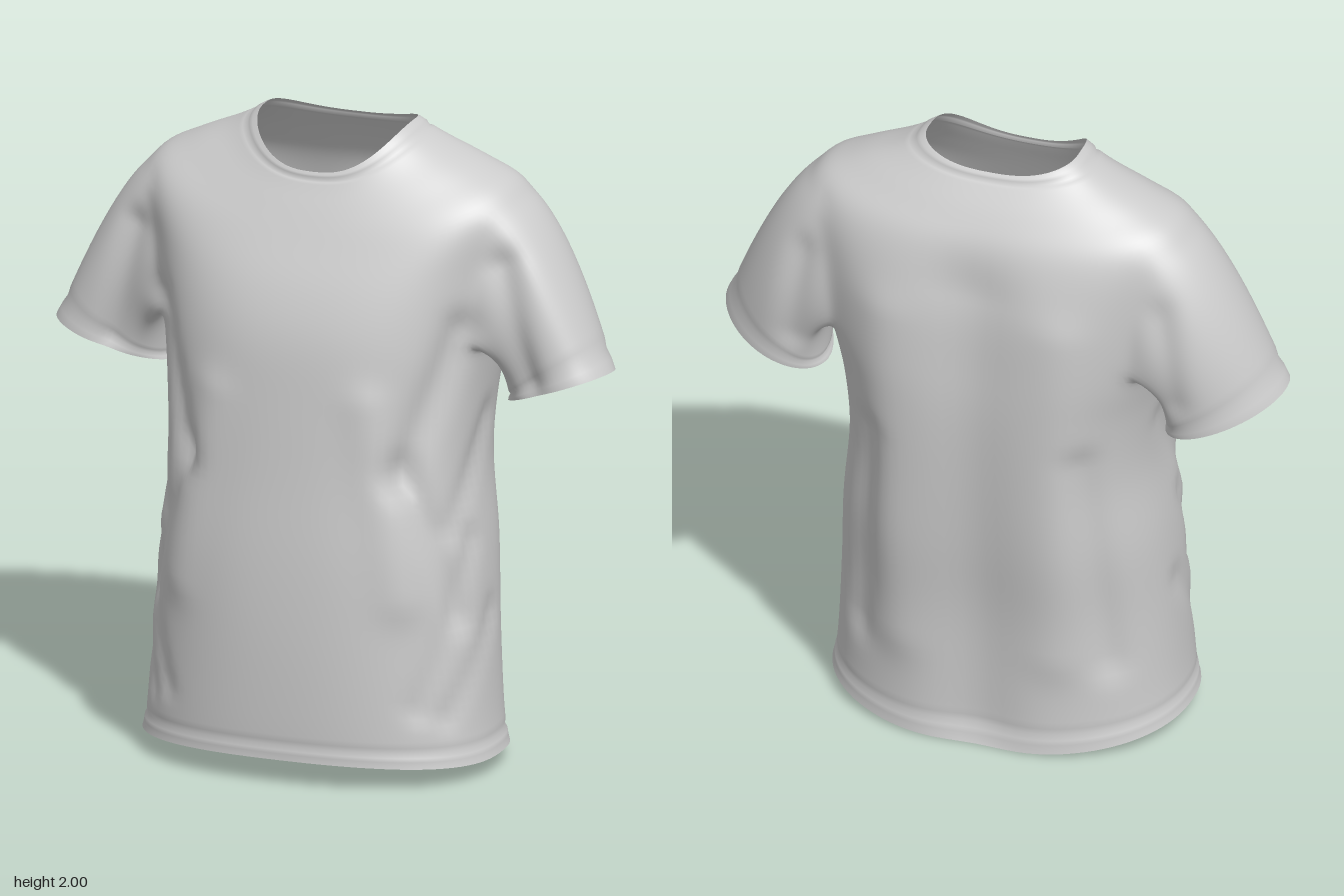
import * as THREE from 'three';

const NU = 96, PER = 8, NS = 26;          // columns around, rows per key ring, sleeve rows
const HOLE = { r0: 6 * PER, r1: 8 * PER, j0: -9, j1: 7 };   // armhole in the body grid

// Key rings from hem to neck: yFront, ySide, yBack, halfWidth, zFront, zBack, zSide, squareness
const RINGS = [
  [0.08, 0.055, 0.0, 0.565, 0.42, -0.375, 0.03, 2.3],
  [0.20, 0.185, 0.16, 0.55, 0.427, -0.375, 0.03, 2.3],
  [0.45, 0.45, 0.44, 0.535, 0.43, -0.385, 0.02, 2.3],
  [0.70, 0.70, 0.70, 0.52, 0.42, -0.415, 0.01, 2.4],
  [0.95, 0.95, 0.95, 0.492, 0.397, -0.435, 0.0, 2.4],
  [1.18, 1.17, 1.18, 0.505, 0.378, -0.445, -0.03, 2.4],
  [1.38, 1.34, 1.36, 0.53, 0.357, -0.44, -0.08, 2.5],
  [1.53, 1.60, 1.56, 0.56, 0.312, -0.425, -0.1, 2.5],
  [1.67, 1.805, 1.74, 0.60, 0.245, -0.375, -0.1, 2.4],
  [1.76, 1.885, 1.84, 0.48, 0.2, -0.315, -0.1, 2.3],
  [1.82, 1.945, 1.91, 0.34, 0.168, -0.262, -0.1, 2.4],
  [1.872, 2.0, 1.96, 0.24, 0.142, -0.22, -0.09, 2.6],
];

// Soft folds, one per line and mirrored below
const FOLDS = [];
function fold(from, to, radius, depth) {
  for (const side of [1, -1]) {
    const [a, b] = [from, to].map(([x, y, z]) => new THREE.Vector3(side * x, y, z));
    FOLDS.push({ line: new THREE.Line3(a, b), radius, depth });
  }
}
fold([0, 0.1, -0.39], [0, 1.6, -0.42], 0.14, -0.02);         // hollow along the spine
fold([0.26, 0.35, -0.36], [0.28, 1.5, -0.38], 0.09, 0.015);  // shoulder blade ridge
fold([0.41, 0.32, -0.27], [0.33, 1.05, -0.34], 0.06, -0.019);
fold([0.47, 1.42, 0.14], [0.35, 0.98, 0.3], 0.06, -0.03);    // dent below the armpit
fold([0.37, 1.0, 0.3], [0.5, 0.52, 0.18], 0.05, -0.022);
fold([0.25, 1.2, 0.34], [0.35, 0.6, 0.32], 0.07, 0.014);
fold([0.5, 0.75, 0.1], [0.4, 0.25, 0.3], 0.04, -0.016);      // slanted side creases
fold([0.52, 0.5, 0], [0.47, 0.22, 0.24], 0.04, -0.014);
fold([0.5, 1.1, -0.05], [0.46, 0.8, 0.18], 0.05, -0.015);
fold([0.6, 1.62, 0.09], [0.68, 1.25, 0.09], 0.05, -0.025);   // sleeve front and back
fold([0.58, 1.6, -0.31], [0.62, 1.3, -0.27], 0.05, -0.018);

const spow = (v, p) => Math.sign(v) * Math.abs(v) ** p;

// Catmull-Rom interpolation of the key rings
function ringAt(k) {
  const i = Math.min(Math.floor(k), RINGS.length - 2), t = k - i;
  const at = n => RINGS[Math.max(0, Math.min(RINGS.length - 1, n))];
  return RINGS[0].map((_, c) => {
    const [p, q, r, s] = [at(i - 1)[c], at(i)[c], at(i + 1)[c], at(i + 2)[c]];
    return q + 0.5 * t * (r - p + t * (2 * p - 5 * q + 4 * r - s + t * (3 * (q - r) + s - p)));
  });
}

export function createModel() {
  const cloth = new THREE.MeshStandardMaterial({ color: 0xcccccc, side: THREE.DoubleSide });
  cloth.name = 'light grey cloth';

  const pts = [], seam = [], fixed = new Set();
  const parts = { body: [], hemBand: [], collar: [], leftSleeve: [], rightSleeve: [], leftCuff: [], rightCuff: [] };
  const quad = (list, a, b, c, d, flip) =>
    flip ? list.push(a, d, c, a, b, d) : list.push(a, c, d, a, d, b);
  const add = (p, groove, edge) => {
    if (edge) fixed.add(pts.length);
    seam.push(groove);
    return pts.push(p) - 1;
  };

  // Body: rings from hem to neck
  const NV = (RINGS.length - 1) * PER, hemRow = 4, collarRow = NV - 4;
  const id = (i, j) => i * NU + ((j % NU) + NU) % NU;
  for (let i = 0; i <= NV; i++) {
    const [yF, yS, yB, w, zF, zB, zS, n] = ringAt(i / PER);
    const groove = i === hemRow || i === collarRow ? -0.004 : i < hemRow || i > collarRow ? 0.003 : 0;
    for (let j = 0; j < NU; j++) {
      const th = j / NU * Math.PI * 2, s = Math.sin(th), c = Math.cos(th);
      add(new THREE.Vector3(
        w * spow(c, 2 / n),
        yS + ((s > 0 ? yF : yB) - yS) * s * s,
        zS + (s > 0 ? zF - zS : zS - zB) * spow(s, 2 / n)),
      groove, i === 0 || i === NV);
    }
  }
  const inHole = (i, j) => {
    const within = v => v >= HOLE.j0 && v < HOLE.j1;
    const left = j >= NU / 2 ? j - NU : j;
    return i >= HOLE.r0 && i < HOLE.r1 && (within(left) || within(NU / 2 - j - 1));
  };
  for (let i = 0; i < NV; i++) for (let j = 0; j < NU; j++) {
    if (inHole(i, j)) continue;
    const list = i < hemRow ? parts.hemBand : i >= collarRow ? parts.collar : parts.body;
    quad(list, id(i, j), id(i, j + 1), id(i + 1, j), id(i + 1, j + 1), false);
  }

  // Sleeves: each armhole edge swept through a middle oval to the cuff oval
  const { r0, r1, j0, j1 } = HOLE;
  const edge = [];
  for (let j = j0; j < j1; j++) edge.push([r0, j]);
  for (let i = r0; i < r1; i++) edge.push([i, j1]);
  for (let j = j1; j > j0; j--) edge.push([r1, j]);
  for (let i = r1; i > r0; i--) edge.push([i, j0]);
  const oval = (side, phi, [cx, cy, cz], [ax, ay, az], [by, bz]) => {
    const s = Math.sin(phi), c = Math.cos(phi);
    return new THREE.Vector3(side * (cx + ax * s), cy + ay * s + by * c, cz + az * s + bz * c);
  };
  for (const side of [1, -1]) {
    const name = side > 0 ? 'left' : 'right', cuffRow = NS - 2;
    let prev = edge.map(([i, j]) => id(i, side > 0 ? j : NU / 2 - j));
    const curves = prev.map(v => {
      const p = pts[v], phi = Math.atan2((p.y - 1.58) / 0.24, (p.z + 0.1) / 0.2);
      return new THREE.QuadraticBezierCurve3(p.clone(),
        oval(side, phi, [0.638, 1.49, -0.11], [0.088, 0.23, 0.01], [0, 0.22]),
        oval(side, phi, [0.722, 1.21, -0.09], [0.175, 0.068, 0.04], [0.015, 0.178]));
    });
    for (let r = 1; r <= NS; r++) {
      const groove = r === cuffRow ? -0.004 : r > cuffRow ? 0.002 : 0;
      const row = curves.map(c => add(c.getPoint(r / NS), groove, r === NS));
      const list = parts[name + (r > cuffRow ? 'Cuff' : 'Sleeve')];
      row.forEach((_, q) => {
        const n = (q + 1) % row.length;
        quad(list, prev[q], prev[n], row[q], row[n], side < 0);
      });
      prev = row;
    }
  }

  // Relax the cloth so the armhole blends into the body
  const index = Object.values(parts).flat();
  const near = pts.map(() => new Set());
  for (let t = 0; t < index.length; t += 3) for (let e = 0; e < 3; e++) {
    const a = index[t + e], b = index[t + (e + 1) % 3];
    near[a].add(b);
    near[b].add(a);
  }
  for (let pass = 0; pass < 8; pass++) {
    const old = pts.map(p => p.clone());
    pts.forEach((p, v) => {
      if (fixed.has(v) || !near[v].size) return;
      const mean = new THREE.Vector3();
      near[v].forEach(m => mean.add(old[m]));
      p.lerp(mean.divideScalar(near[v].size), 0.5);
    });
  }

  // Folds and stitched seams, pushed along the surface normals
  const shell = new THREE.BufferGeometry().setFromPoints(pts);
  shell.setIndex(index);
  shell.computeVertexNormals();
  const pos = shell.attributes.position, normal = new THREE.Vector3(), hit = new THREE.Vector3();
  pts.forEach((p, v) => {
    let push = seam[v];
    for (const { line, radius, depth } of FOLDS) {
      const d = line.closestPointToPoint(p, true, hit).distanceTo(p) / radius;
      push += depth * Math.exp(-d * d);
    }
    normal.fromBufferAttribute(shell.attributes.normal, v);
    if (fixed.has(v)) normal.y = 0;
    p.addScaledVector(normal, push);
    pos.setXYZ(v, p.x, p.y, p.z);
  });
  shell.computeVertexNormals();

  // One mesh per part, sharing points and normals so the joins stay smooth
  const group = new THREE.Group();
  group.name = 'shirt';
  for (const [name, list] of Object.entries(parts)) {
    const g = new THREE.BufferGeometry();
    g.setAttribute('position', pos);
    g.setAttribute('normal', shell.attributes.normal);
    g.setIndex(list);
    const mesh = new THREE.Mesh(g, cloth);
    mesh.name = name;
    group.add(mesh);
  }
  return group;
}
